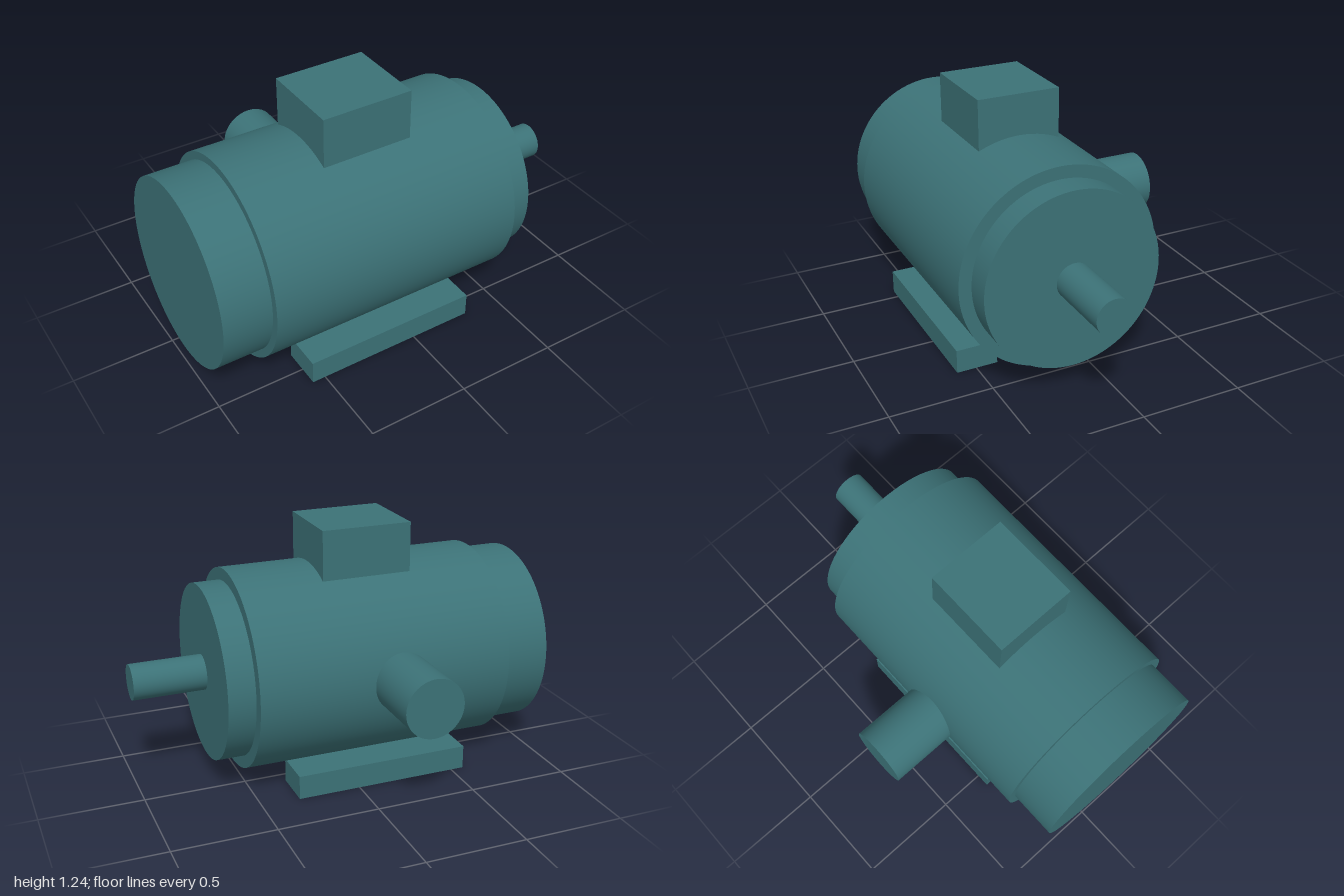
import * as THREE from 'three';

const AXIS_Y = 0.545, AXIS_Z = 0.163;

export function createModel() {
  const group = new THREE.Group();
  group.name = 'electricMotor';
  const paint = new THREE.MeshStandardMaterial({ color: 0x3c7277 });
  paint.name = 'teal paint';

  const add = (name, geometry) => {
    const mesh = new THREE.Mesh(geometry, paint);
    mesh.name = name;
    group.add(mesh);
  };

  // Cylinder lying along the motor axis, from x0 to x1
  const drum = (name, r, x0, x1) =>
    add(name, new THREE.CylinderGeometry(r, r, x1 - x0, 96)
      .rotateZ(-Math.PI / 2)
      .translate((x0 + x1) / 2, AXIS_Y, AXIS_Z));

  // Box given by its limits on each axis
  const block = (name, [x0, x1], [y0, y1], [z0, z1]) =>
    add(name, new THREE.BoxGeometry(x1 - x0, y1 - y0, z1 - z0)
      .translate((x0 + x1) / 2, (y0 + y1) / 2, (z0 + z1) / 2));

  // Housing, end covers and output shaft
  drum('fanCover', 0.455, -1, -0.765);
  drum('housing', 0.494, -0.765, 0.513);
  drum('endShield', 0.433, 0.513, 0.646);
  drum('shaft', 0.0875, 0.646, 1);

  // Terminal box on top
  block('terminalBox', [-0.354, 0.097], [0.94, 1.24], [-0.04, 0.368]);

  // Pipe stub at the back, running into the housing
  add('rearPipe', new THREE.CylinderGeometry(0.146, 0.146, 0.407, 64)
    .rotateX(Math.PI / 2)
    .translate(-0.2, AXIS_Y, -0.4535));

  // Two mounting feet, mirrored about the motor axis
  for (const side of [1, -1]) {
    const z = [AXIS_Z + side * 0.229, AXIS_Z + side * 0.434].sort((a, b) => a - b);
    block(side > 0 ? 'frontFoot' : 'rearFoot', [-0.565, 0.311], [0, 0.118], z);
  }

  return group;
}
